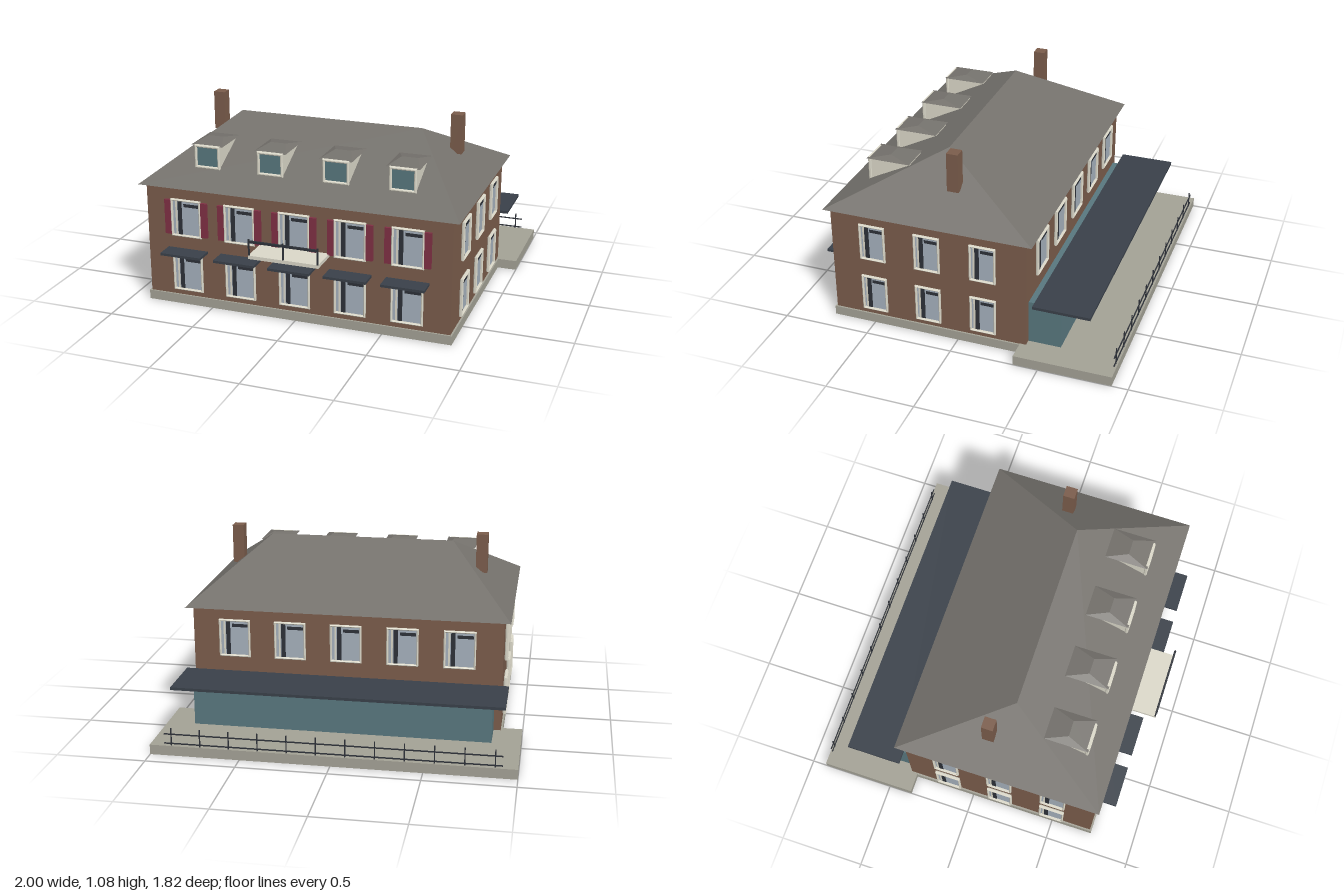
import * as THREE from 'three';

const mat = (name, color, side = THREE.FrontSide) => {
  const m = new THREE.MeshStandardMaterial({ color, side });
  m.name = name;
  return m;
};

export function createModel() {
  const brick = mat('brick brown', 0x7a5c4b);
  const slate = mat('roof grey', 0x74716c);
  const cream = mat('cream trim', 0xdad7c8);
  const stone = mat('terrace stone', 0xa3a195);
  const navy = mat('awning navy', 0x394049);
  const teal = mat('teal glazing', 0x58777e);
  const glass = mat('pale window glass', 0xa5b0bc);
  const maroon = mat('maroon shutter', 0x7f3044);
  const iron = mat('dark iron', 0x2d3138);

  const house = new THREE.Group();
  house.name = 'house';

  const add = (parent, name, geometry, material, x = 0, y = 0, z = 0) => {
    const m = new THREE.Mesh(geometry, material);
    m.name = name;
    m.position.set(x, y, z);
    parent.add(m);
    return m;
  };
  // Box given by its min and max along each axis
  const box = (parent, name, material, [x0, x1], [y0, y1], [z0, z1]) =>
    add(parent, name, new THREE.BoxGeometry(x1 - x0, y1 - y0, z1 - z0), material,
      (x0 + x1) / 2, (y0 + y1) / 2, (z0 + z1) / 2);

  // Hipped roof with its ridge along x, closed underneath
  const hipRoof = (halfW, halfD, h, halfRidge) => {
    const A = [-halfW, 0, halfD], B = [halfW, 0, halfD], C = [halfW, 0, -halfD], D = [-halfW, 0, -halfD];
    const L = [-halfRidge, h, 0], R = [halfRidge, h, 0];
    const tris = [A, B, R, A, R, L, C, D, L, C, L, R, B, C, R, D, A, L, A, D, C, A, C, B];
    const g = new THREE.BufferGeometry();
    g.setAttribute('position', new THREE.Float32BufferAttribute(tris.flat(), 3));
    g.computeVertexNormals();
    return g;
  };

  // Rectangular frame with a softened edge, back face on z = 0
  const frameGeometry = (w, h, border) => {
    const bevel = 0.005;
    const rect = (s, a, b) => s.moveTo(-a, -b).lineTo(a, -b).lineTo(a, b).lineTo(-a, b).closePath();
    const shape = rect(new THREE.Shape(), w / 2 - bevel, h / 2 - bevel);
    shape.holes.push(rect(new THREE.Path(), w / 2 - border + bevel, h / 2 - border + bevel));
    const g = new THREE.ExtrudeGeometry(shape, {
      depth: 0.01, bevelEnabled: true, bevelSize: bevel, bevelThickness: bevel, bevelSegments: 1,
    });
    return g.translate(0, 0, bevel);
  };

  // Main walls, plinth and rear terrace
  box(house, 'walls', brick, [-0.88, 0.88], [0, 0.69], [-0.395, 0.735]);
  box(house, 'plinth', stone, [-0.89, 0.89], [0.002, 0.055], [-0.405, 0.745]);
  box(house, 'terrace', stone, [-1, 1], [0.001, 0.057], [-0.91, -0.36]);

  // Main roof and chimneys
  add(house, 'mainRoof', hipRoof(0.918, 0.599, 0.302, 0.54), slate, 0, 0.698, 0.164);
  for (const s of [-1, 1]) {
    box(house, 'chimney', brick, [s * 0.718 - 0.033, s * 0.718 + 0.033], [0.85, 1.075], [0.032, 0.098]);
  }

  // Windows: frame, glass and thin bars
  const makeWindow = (w, h) => {
    const g = new THREE.Group();
    g.name = 'window';
    add(g, 'windowFrame', frameGeometry(w, h, 0.011), cream);
    add(g, 'windowGlass', new THREE.BoxGeometry(w - 0.01, h - 0.01, 0.006), glass, 0, 0, 0.003);
    add(g, 'darkUpright', new THREE.BoxGeometry(0.024, h - 0.02, 0.003), iron, -w * 0.21, 0, 0.007);
    add(g, 'paleUpright', new THREE.BoxGeometry(0.01, h - 0.02, 0.003), cream, -w * 0.33, 0, 0.007);
    add(g, 'darkCrossbar', new THREE.BoxGeometry(w * 0.5, 0.018, 0.003), iron, w * 0.17, h * 0.34, 0.007);
    return g;
  };
  const placeWindow = (w, h, x, y, z, turn) => {
    const g = makeWindow(w, h);
    g.position.set(x, y, z);
    g.rotation.y = turn;
    house.add(g);
  };

  const columns = [-0.64, -0.32, 0, 0.32, 0.64];
  const lowerY = 0.197, upperY = 0.523;
  for (const x of columns) {
    placeWindow(0.18, 0.22, x, lowerY, 0.735, 0);
    placeWindow(0.18, 0.22, x, upperY, 0.735, 0);
    placeWindow(0.18, 0.22, x, upperY, -0.395, Math.PI);
    // Shutters beside the upper windows, awnings over the lower ones
    for (const s of [-1, 1]) {
      const cx = x + s * 0.109;
      box(house, 'shutter', maroon, [cx - 0.019, cx + 0.019], [0.422, 0.624], [0.735, 0.75]);
    }
    box(house, 'awning', navy, [x - 0.12, x + 0.12], [0.324, 0.338], [0.735, 0.84]);
  }
  for (const z of [-0.15, 0.17, 0.49]) {
    for (const y of [lowerY, upperY]) {
      placeWindow(0.15, 0.22, 0.88, y, z, Math.PI / 2);
      placeWindow(0.15, 0.22, -0.88, y, z, -Math.PI / 2);
    }
  }

  // Balcony with a front railing
  box(house, 'balconySlab', cream, [-0.2, 0.2], [0.407, 0.427], [0.735, 0.905]);
  box(house, 'balconyRail', iron, [-0.2, 0.2], [0.5, 0.512], [0.895, 0.907]);
  for (const x of [-0.196, 0, 0.196]) {
    box(house, 'balconyPost', iron, [x - 0.004, x + 0.004], [0.427, 0.52], [0.897, 0.905]);
  }

  // Dormers
  for (const x of [-0.565, -0.19, 0.19, 0.565]) {
    const d = new THREE.Group();
    d.name = 'dormer';
    d.position.x = x;
    house.add(d);
    box(d, 'dormerBody', cream, [-0.072, 0.072], [0.78, 0.91], [0.36, 0.594]);
    box(d, 'dormerGlass', teal, [-0.064, 0.064], [0.788, 0.902], [0.594, 0.6]);
    add(d, 'dormerFrame', frameGeometry(0.152, 0.136, 0.015), cream, 0, 0.845, 0.59);
    add(d, 'dormerRoof', hipRoof(0.093, 0.125, 0.022, 0.045), slate, 0, 0.911, 0.482);
  }

  // Rear veranda and its canopy
  box(house, 'veranda', teal, [-0.84, 0.84], [0.055, 0.31], [-0.58, -0.39]);
  box(house, 'verandaCanopy', navy, [-0.918, 0.918], [0.324, 0.34], [-0.76, -0.44]);

  // Terrace railing
  for (const y of [0.068, 0.122]) {
    box(house, 'terraceRail', iron, [-0.92, 0.92], [y - 0.003, y + 0.003], [-0.901, -0.895]);
  }
  for (let i = 0; i < 12; i++) {
    const x = -0.88 + i * 0.16;
    box(house, 'terracePost', iron, [x - 0.003, x + 0.003], [0.055, 0.157], [-0.901, -0.895]);
  }

  return house;
}
